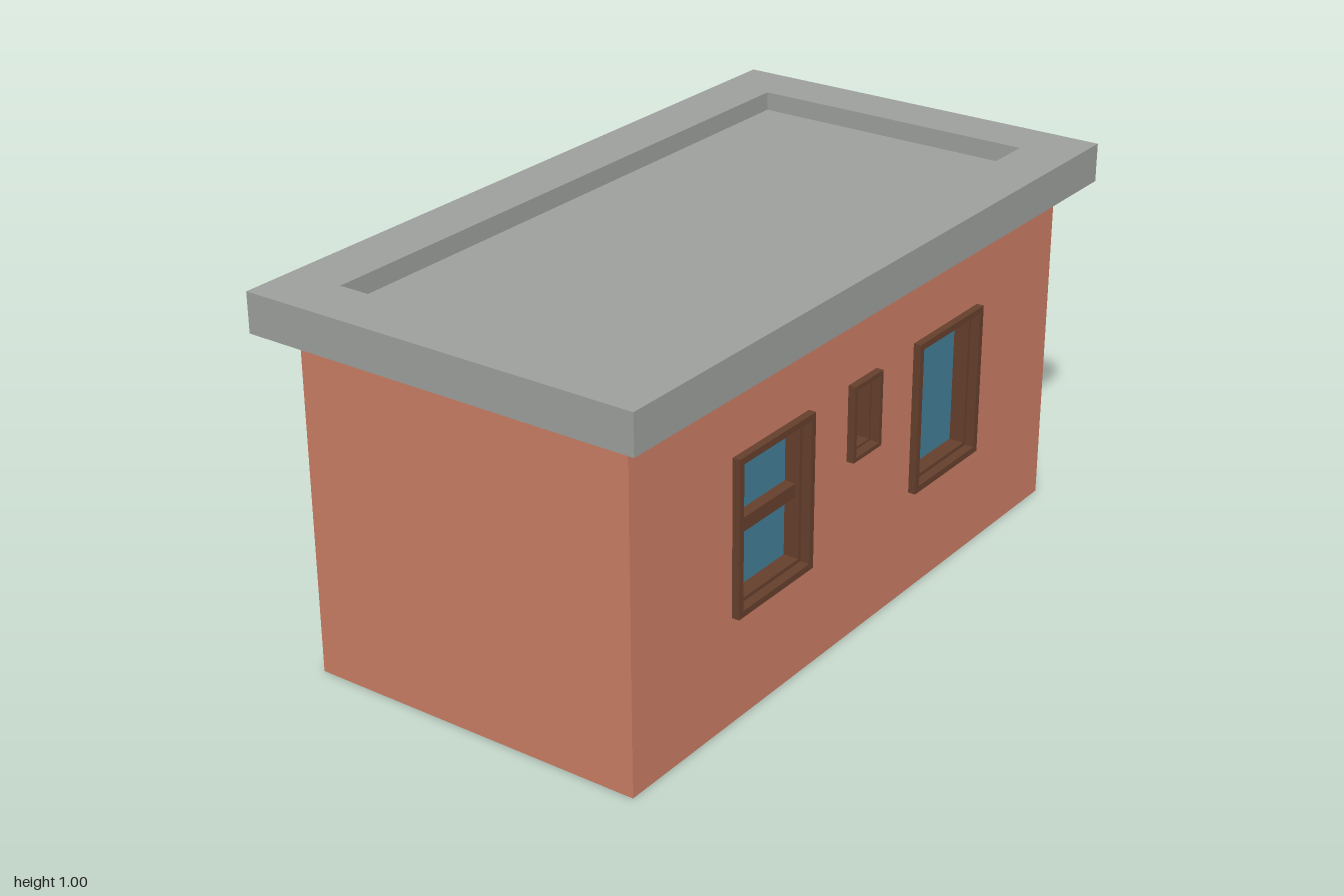
import * as THREE from 'three';

const mat = (name, color, side = THREE.FrontSide) => {
  const m = new THREE.MeshStandardMaterial({ color, side });
  m.name = name;
  return m;
};

export function createModel() {
  const wallMat = mat('terracotta wall', 0xc97d64, THREE.DoubleSide);
  const roofMat = mat('grey concrete', 0x9d9f9d);
  const frameMat = mat('brown wood', 0x653f2c);
  const glassMat = mat('blue glass', 0x437d97);

  const house = new THREE.Group();
  house.name = 'house';
  const add = (parent, name, geometry, material, x = 0, y = 0, z = 0) => {
    const mesh = new THREE.Mesh(geometry, material);
    mesh.name = name;
    mesh.position.set(x, y, z);
    parent.add(mesh);
    return mesh;
  };

  // Rectangle outline, used for shapes and for holes
  const rect = (Type, w, h, cx = 0, cy = 0) => {
    const p = new Type();
    p.moveTo(cx - w / 2, cy - h / 2);
    p.lineTo(cx + w / 2, cy - h / 2);
    p.lineTo(cx + w / 2, cy + h / 2);
    p.lineTo(cx - w / 2, cy + h / 2);
    p.closePath();
    return p;
  };
  const ring = (w, h, innerW, innerH, depth) => {
    const s = rect(THREE.Shape, w, h);
    s.holes.push(rect(THREE.Path, innerW, innerH));
    return new THREE.ExtrudeGeometry(s, { depth, bevelEnabled: false });
  };

  const HX = 0.92, HZ = 0.466, WALL_H = 0.897, DEPTH = 0.066;

  // Window facing +z, front at z = 0: outer frame, stepped sash, bar, glass
  const makeWindow = (name, { w, h, trim, sash, bar }) => {
    const g = new THREE.Group();
    g.name = name;
    const iw = w - 2 * trim, ih = h - 2 * trim;
    add(g, 'outerFrame', ring(w, h, iw, ih, DEPTH), frameMat, 0, 0, -DEPTH);
    add(g, 'sash', ring(iw, ih, iw - 2 * sash, ih - 2 * sash, DEPTH - 0.025), frameMat, 0, 0, -DEPTH);
    if (bar) add(g, 'crossBar', new THREE.BoxGeometry(iw - 2 * sash, bar, 0.03), frameMat, 0, 0.002, -DEPTH + 0.015);
    add(g, 'glass', new THREE.BoxGeometry(w, h, 0.005), glassMat, 0, 0, -DEPTH - 0.0025);
    return g;
  };

  const frontWindows = [
    { name: 'doubleWindow', x: -0.387, y: 0.486, w: 0.306, h: 0.408, trim: 0.017, sash: 0.01, bar: 0.036 },
    { name: 'smallWindow', x: -0.003, y: 0.588, w: 0.124, h: 0.2, trim: 0.011, sash: 0.006 },
    { name: 'singleWindow', x: 0.383, y: 0.486, w: 0.306, h: 0.408, trim: 0.017, sash: 0.01 },
  ];
  const sideWindow = { name: 'sideWindow', x: 0, y: 0.486, w: 0.316, h: 0.406, trim: 0.023, sash: 0.017, bar: 0.026 };

  // Thin wall with openings, standing at a given distance along its facing
  const makeWall = (name, width, dist, angle, windows, proud) => {
    const g = new THREE.Group();
    g.name = name;
    const s = rect(THREE.Shape, width, WALL_H, 0, WALL_H / 2);
    for (const win of windows) {
      s.holes.push(rect(THREE.Path, win.w, win.h, win.x, win.y));
      const unit = makeWindow(win.name, win);
      unit.position.set(win.x, win.y, dist + proud);
      g.add(unit);
    }
    add(g, 'wallPanel', new THREE.ShapeGeometry(s), wallMat, 0, 0, dist);
    g.rotation.y = angle;
    house.add(g);
  };
  makeWall('frontWall', 2 * HX, HZ, 0, frontWindows, 0.02);
  makeWall('rightWall', 2 * HZ, HX, Math.PI / 2, [sideWindow], 0.003);
  makeWall('backWall', 2 * HX, HZ, Math.PI, [], 0);
  makeWall('leftWall', 2 * HZ, HX, -Math.PI / 2, [], 0);

  // Flat roof: slab with a raised rim around the sunken deck
  const deckY = 0.95;
  add(house, 'roofSlab', new THREE.BoxGeometry(2, deckY - WALL_H, 1.085), roofMat, 0, (deckY + WALL_H) / 2, 0);
  const rim = add(house, 'roofRim', ring(2, 1.085, 1.706, 0.788, 1 - deckY), roofMat, 0, deckY, 0);
  rim.rotation.x = -Math.PI / 2;

  return house;
}
